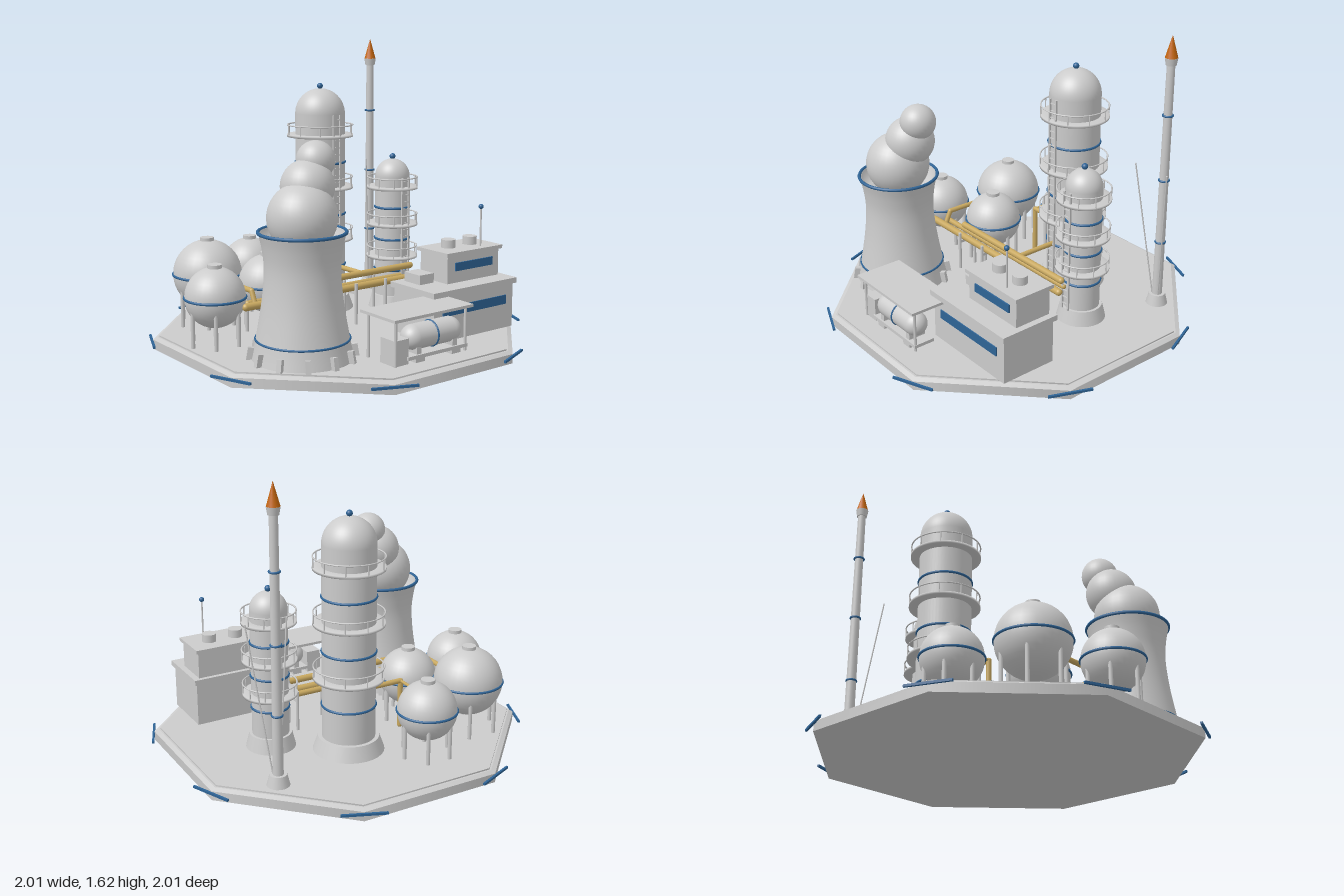
import * as THREE from 'three';

const paint = (color) => new THREE.MeshStandardMaterial({ color });
const grey = paint(0xcccccc);
const blue = paint(0x2f6496);
const ochre = paint(0xc8a860);
const orange = paint(0xc4660f);
const greyOpen = paint(0xcccccc);
greyOpen.side = THREE.DoubleSide;

const V = (x, y, z) => new THREE.Vector3(x, y, z);
const DECK = 0.07;

function add(parent, name, geometry, material, x = 0, y = 0, z = 0) {
  const mesh = new THREE.Mesh(geometry, material);
  mesh.name = name;
  mesh.position.set(x, y, z);
  parent.add(mesh);
  return mesh;
}

function group(parent, name, x = 0, y = 0, z = 0) {
  const g = new THREE.Group();
  g.name = name;
  g.position.set(x, y, z);
  parent.add(g);
  return g;
}

// Box given by its extents
const box = (p, name, x0, x1, y0, y1, z0, z1, mat = grey) =>
  add(p, name, new THREE.BoxGeometry(x1 - x0, y1 - y0, z1 - z0), mat, (x0 + x1) / 2, (y0 + y1) / 2, (z0 + z1) / 2);

// Upright cylinder or cone from y0 to y1
const cyl = (p, name, r0, r1, y0, y1, x = 0, z = 0, mat = grey, sides = 32) =>
  add(p, name, new THREE.CylinderGeometry(r1, r0, y1 - y0, sides), mat, x, (y0 + y1) / 2, z);

const ball = (p, name, r, x, y, z, mat = grey) => add(p, name, new THREE.SphereGeometry(r, 32, 20), mat, x, y, z);

// Horizontal ring
function ring(p, name, r, tube, y, mat) {
  const m = add(p, name, new THREE.TorusGeometry(r, tube, 8, 48), mat, 0, y, 0);
  m.rotation.x = Math.PI / 2;
  return m;
}

// Round bar between two points
function bar(p, name, a, b, r, mat = grey, sides = 12) {
  const d = b.clone().sub(a);
  const m = add(p, name, new THREE.CylinderGeometry(r, r, d.length(), sides), mat);
  m.position.copy(a).addScaledVector(d, 0.5);
  m.quaternion.setFromUnitVectors(V(0, 1, 0), d.normalize());
}

const lathe = (points) => new THREE.LatheGeometry(points.map(([r, y]) => new THREE.Vector2(r, y)), 48);

// Eight-sided base with a stepped edge and a strip at each corner
function buildBase(root) {
  const g = group(root, 'base');
  const slabs = [[1.03, 1.03, 0, 0.05], [1.03, 1.005, 0.05, 0.062], [0.995, 0.995, 0.062, DECK]];
  for (const [r0, r1, y0, y1] of slabs) cyl(g, 'baseSlab', r0, r1, y0, y1, 0, 0, grey, 8).rotation.y = Math.PI / 8;
  for (let i = 0; i < 8; i++) {
    const a = Math.PI / 8 + i * Math.PI / 4;
    const strip = add(g, 'cornerStrip', new THREE.BoxGeometry(0.235, 0.012, 0.012), blue, 1.034 * Math.sin(a), 0.04, 1.034 * Math.cos(a));
    strip.rotation.y = a;
  }
}

// Hourglass tower with footings and a rising plume
function buildCoolingTower(root) {
  const g = group(root, 'coolingTower', -0.525, 0, 0.39);
  const wall = new THREE.SplineCurve([[0.258, DECK], [0.237, 0.17], [0.205, 0.36], [0.192, 0.52], [0.202, 0.63], [0.22, 0.71]]
    .map(([r, y]) => new THREE.Vector2(r, y))).getPoints(24);
  add(g, 'towerShell', new THREE.LatheGeometry(wall, 48), greyOpen);
  add(g, 'towerMouth', lathe([[0.22, 0.71], [0.205, 0.71], [0.185, 0.62], [0.001, 0.62]]), greyOpen);
  ring(g, 'towerRim', 0.22, 0.009, 0.71, blue);
  ring(g, 'towerBand', 0.238, 0.006, 0.172, blue);
  for (let i = 0; i < 12; i++) {
    const a = i * Math.PI / 6;
    const foot = add(g, 'towerFoot', new THREE.BoxGeometry(0.026, 0.065, 0.03), grey, 0.265 * Math.sin(a), 0.1, 0.265 * Math.cos(a));
    foot.rotation.set(-0.18, a, 0, 'YXZ');
  }
  for (const [r, x, y, z] of [[0.178, 0, 0.78, 0], [0.138, 0.065, 0.925, -0.045], [0.1, 0.127, 1.05, -0.06]])
    ball(g, 'steamPuff', r, x, y, z);
}

// Round storage tank on legs
function buildSphereTank(root, x, z, r, y) {
  const g = group(root, 'sphereTank', x, 0, z);
  ball(g, 'tankSphere', r, 0, y, 0);
  ring(g, 'tankBand', r, 0.007, y, blue);
  cyl(g, 'tankCap', 0.038, 0.038, y + r - 0.015, y + r + 0.014, 0, 0, grey, 20);
  for (let i = 0; i < 6; i++) {
    const a = i * Math.PI / 3;
    cyl(g, 'tankLeg', 0.011, 0.011, DECK, y - 0.2 * r, 0.85 * r * Math.cos(a), 0.85 * r * Math.sin(a), grey, 10);
  }
}

// Domed column with skirt, bands, railed platforms and a ladder
function buildColumn(root, x, z, r, top, bands, platforms) {
  const g = group(root, 'processColumn', x, 0, z);
  cyl(g, 'columnSkirt', r * 1.35, r * 1.15, DECK, 0.15);
  cyl(g, 'columnShell', r, r, 0.15, top, 0, 0, grey, 48);
  add(g, 'columnDome', new THREE.SphereGeometry(r, 48, 14, 0, Math.PI * 2, 0, Math.PI / 2), grey, 0, top, 0);
  ball(g, 'columnTip', 0.017, 0, top + r + 0.014, 0, blue);
  for (const y of bands) ring(g, 'columnBand', r, 0.007, y, blue);
  const R = r + 0.048;
  for (const y of platforms) {
    add(g, 'platform', lathe([[r, y - 0.007], [R, y - 0.007], [R, y + 0.007], [r, y + 0.007]]), greyOpen);
    ring(g, 'platformRail', R - 0.003, 0.004, y + 0.06, grey);
    for (let i = 0; i < 10; i++) {
      const a = i * Math.PI / 5;
      cyl(g, 'railPost', 0.0035, 0.0035, y, y + 0.06, (R - 0.003) * Math.sin(a), (R - 0.003) * Math.cos(a), grey, 6);
    }
  }
  const zl = r + 0.018;
  for (const s of [-1, 1]) box(g, 'ladderRail', s * 0.024 - 0.005, s * 0.024 + 0.005, 0.15, top, zl - 0.005, zl + 0.005);
  for (let y = 0.18; y < top; y += 0.04) box(g, 'ladderRung', -0.024, 0.024, y, y + 0.006, zl - 0.003, zl + 0.003);
}

// Tall flare stack
function buildFlare(root) {
  const g = group(root, 'flareStack', 0.645, 0, -0.532);
  cyl(g, 'stackFoot', 0.06, 0.045, DECK, 0.13, 0, 0, grey, 20);
  cyl(g, 'stackPole', 0.028, 0.022, 0.13, 1.48, 0, 0, grey, 20);
  for (const y of [0.45, 0.82, 1.19]) ring(g, 'stackBand', 0.026, 0.006, y, blue);
  cyl(g, 'stackCollar', 0.028, 0.035, 1.465, 1.505, 0, 0, grey, 20);
  add(g, 'flame', new THREE.ConeGeometry(0.034, 0.12, 16), orange, 0, 1.565, 0);
  for (const s of [-1, 1]) bar(g, 'stackStay', V(s * 0.015, DECK, 0.01), V(s * 0.113, 0.91, 0.105), 0.004, grey, 6);
}

// Two-storey control building
function buildControlHouse(root) {
  const g = group(root, 'controlHouse');
  box(g, 'lowerStorey', 0.14, 0.72, DECK, 0.32, 0.31, 0.63);
  box(g, 'lowerRoof', 0.125, 0.735, 0.315, 0.345, 0.295, 0.645);
  box(g, 'lowerWindow', 0.2, 0.665, 0.205, 0.255, 0.62, 0.636, blue);
  box(g, 'upperStorey', 0.32, 0.7, 0.345, 0.5, 0.32, 0.535);
  box(g, 'upperRoof', 0.305, 0.715, 0.495, 0.515, 0.305, 0.55);
  box(g, 'upperWindow', 0.375, 0.65, 0.41, 0.455, 0.53, 0.543, blue);
  box(g, 'roofUnit', 0.19, 0.29, 0.345, 0.397, 0.335, 0.46);
  for (const x of [0.43, 0.59]) cyl(g, 'roofVent', 0.04, 0.04, 0.515, 0.56, x, 0.42, grey, 20);
  cyl(g, 'antenna', 0.005, 0.005, 0.515, 0.735, 0.59, 0.505, grey, 8);
  ball(g, 'antennaTip', 0.014, 0.59, 0.735, 0.505, blue);
}

// Canopy sheltering a horizontal tank on a skid
function buildTankShelter(root) {
  const g = group(root, 'tankShelter');
  box(g, 'canopy', -0.295, 0.227, 0.3, 0.315, 0.56, 0.83);
  for (const x of [-0.265, 0.2]) for (const z of [0.59, 0.8]) cyl(g, 'canopyPost', 0.008, 0.008, DECK, 0.3, x, z, grey, 8);
  box(g, 'skid', -0.19, 0.21, 0.09, 0.108, 0.69, 0.81);
  for (const x of [-0.11, 0.13]) {
    box(g, 'skidFoot', x - 0.03, x + 0.03, DECK, 0.09, 0.69, 0.81);
    box(g, 'saddle', x - 0.015, x + 0.015, 0.1, 0.155, 0.7, 0.8);
  }
  const tank = add(g, 'horizontalTank', new THREE.CapsuleGeometry(0.065, 0.24, 10, 28), grey, 0.01, 0.185, 0.75);
  tank.rotation.z = Math.PI / 2;
  const band = add(g, 'horizontalTankBand', new THREE.TorusGeometry(0.065, 0.005, 8, 32), blue, 0.005, 0.185, 0.75);
  band.rotation.y = Math.PI / 2;
  box(g, 'pumpUnit', -0.27, -0.18, DECK, 0.2, 0.69, 0.8);
}

// Pipe rack with branches to the tanks and columns
function buildPipes(root) {
  const g = group(root, 'pipeRack');
  const runs = [
    [[-0.65, 0.275, 0.06], [0.48, 0.275, 0.06], 0.02],
    [[-0.37, 0.34, 0.045], [0.48, 0.34, 0.045], 0.018],
    [[-0.6, 0.275, 0], [0.45, 0.275, 0], 0.016],
    [[-0.575, 0.34, -0.27], [-0.575, 0.34, 0], 0.014],
    [[-0.575, 0.34, 0], [-0.575, 0.275, 0.03], 0.014],
    [[0.13, 0.34, -0.21], [0.13, 0.34, 0.045], 0.014],
    [[-0.195, 0.39, -0.35], [0, 0.39, -0.35], 0.014],
    [[-0.195, 0.13, -0.35], [-0.195, 0.39, -0.35], 0.014],
    [[-0.195, 0.39, -0.35], [-0.195, 0.39, -0.48], 0.008],
  ];
  for (const [a, b, r] of runs) {
    bar(g, 'pipe', V(...a), V(...b), r, ochre, 16);
    ball(g, 'pipeEnd', r, ...a, ochre);
    ball(g, 'pipeEnd', r, ...b, ochre);
  }
  for (const x of [-0.365, -0.155, 0.055, 0.265]) {
    for (const z of [-0.022, 0.085]) cyl(g, 'rackPost', 0.009, 0.009, DECK, 0.3, x, z, grey, 8);
    box(g, 'rackBeam', x - 0.01, x + 0.01, 0.24, 0.257, -0.022, 0.085);
  }
}

export function createModel() {
  const root = new THREE.Group();
  root.name = 'industrialPlant';
  buildBase(root);
  buildCoolingTower(root);
  buildSphereTank(root, -0.575, -0.45, 0.19, 0.35);
  buildSphereTank(root, -0.195, -0.61, 0.16, 0.32);
  buildSphereTank(root, -0.365, -0.165, 0.16, 0.32);
  buildSphereTank(root, -0.755, -0.07, 0.16, 0.32);
  buildColumn(root, 0.13, -0.35, 0.143, 1.21, [0.33, 0.63, 0.93], [0.485, 0.785, 1.085]);
  buildColumn(root, 0.475, -0.11, 0.1, 0.845, [0.3, 0.48, 0.665], [0.375, 0.565, 0.78]);
  buildFlare(root);
  buildControlHouse(root);
  buildTankShelter(root);
  buildPipes(root);
  return root;
}
